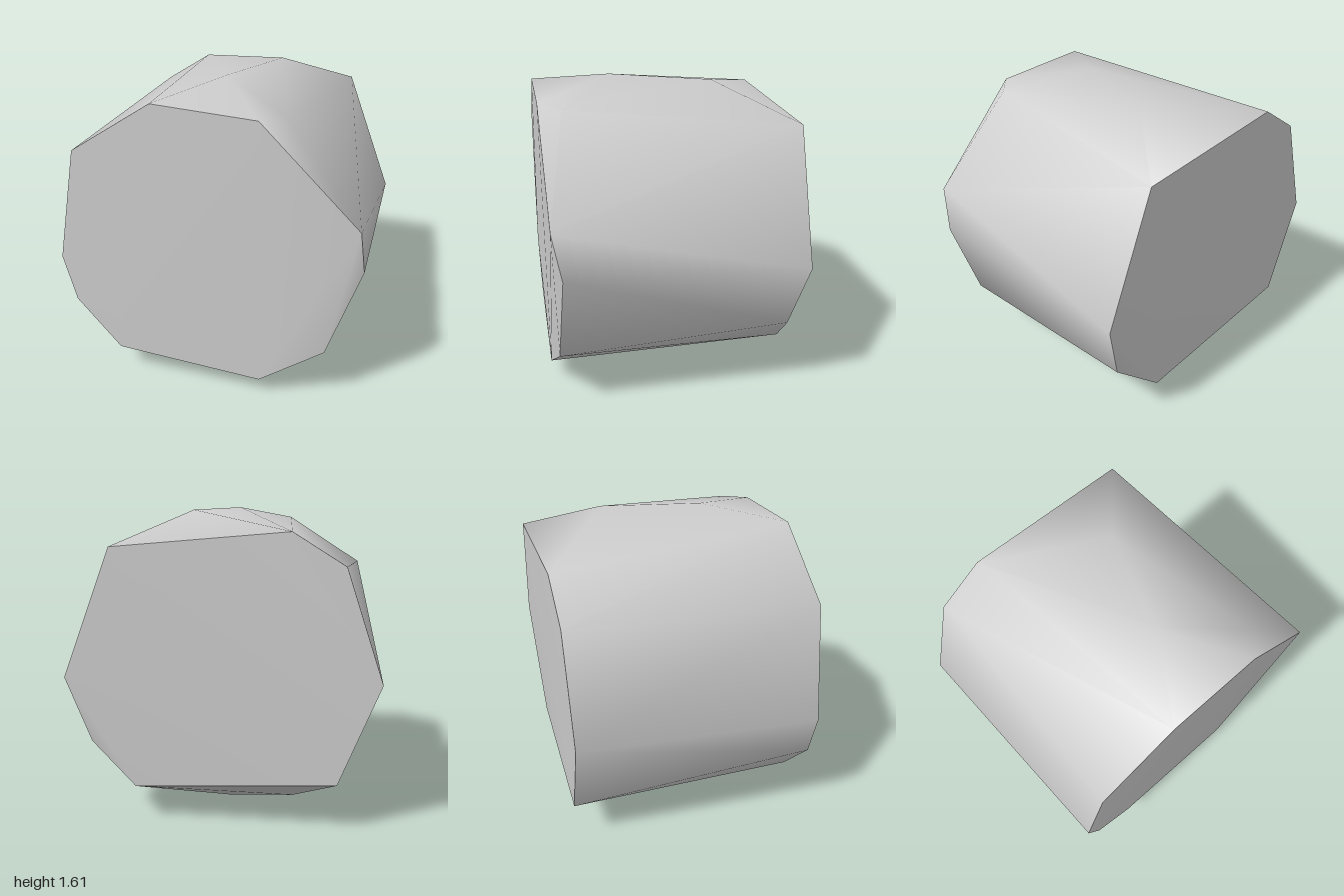
import * as THREE from 'three';
import { ConvexGeometry } from 'three/addons/geometries/ConvexGeometry.js';
import { mergeVertices } from 'three/addons/utils/BufferGeometryUtils.js';

// Picks the facet group a triangle belongs to from its outward normal
function facetOf(n) {
  const facing = n.x * 0.5 + n.z * 0.866;
  if (facing > 0.7) return 'frontCut';
  if (facing < -0.7) return 'backCut';
  return n.y < -0.8 && n.x < 0 ? 'underside' : 'sides';
}

export function createModel() {
  const group = new THREE.Group();
  group.name = 'boulder';
  const stone = new THREE.MeshStandardMaterial({ color: 0xcccccc });
  stone.name = 'pale grey stone';

  // Outline of the broad front cut
  const frontCut = [
    [0.13, 1.555, 0.67], [0.58, 1.52, 0.41], [1, 1.03, 0.16], [1, 0.8, 0.11], [0.87, 0.32, 0.21],
    [0.6, 0.1, 0.4], [-0.08, 0.15, 0.79], [-0.28, 0.42, 0.91], [-0.34, 0.67, 0.94], [-0.24, 1.28, 0.88],
  ];
  // Outline of the back cut
  const backCut = [
    [0.155, 1.41, -0.82], [-0.62, 1.485, -0.37], [-0.84, 1.325, -0.24], [-1, 0.77, -0.15],
    [-0.82, 0.26, -0.25], [0.08, 0.185, -0.75], [0.32, 0.4, -0.83], [0.385, 0.75, -0.94],
  ];
  // Crown and underside corners between the cuts
  const crown = [[0.16, 1.61, 0.2], [0.05, 1.59, -0.32], [0.62, 1.505, 0.26]];
  const underside = [[0.23, 0, 0.31], [-0.08, 0, -0.18], [-0.48, 0.09, -0.14]];

  const corners = [...frontCut, ...backCut, ...crown, ...underside].map((p) => new THREE.Vector3(...p));
  const hull = new ConvexGeometry(corners).getAttribute('position');

  // Sort the hull triangles into facets, so edges between facets stay crisp
  const facets = { frontCut: [], backCut: [], underside: [], sides: [] };
  const triangle = new THREE.Triangle();
  const normal = new THREE.Vector3();
  for (let i = 0; i < hull.count; i += 3) {
    triangle.setFromAttributeAndIndices(hull, i, i + 1, i + 2);
    triangle.getNormal(normal);
    facets[facetOf(normal)].push(triangle.a.clone(), triangle.b.clone(), triangle.c.clone());
  }

  // Each facet is softly shaded within itself
  for (const [name, points] of Object.entries(facets)) {
    const geometry = mergeVertices(new THREE.BufferGeometry().setFromPoints(points));
    geometry.computeVertexNormals();
    const mesh = new THREE.Mesh(geometry, stone);
    mesh.name = name;
    group.add(mesh);
  }
  return group;
}
